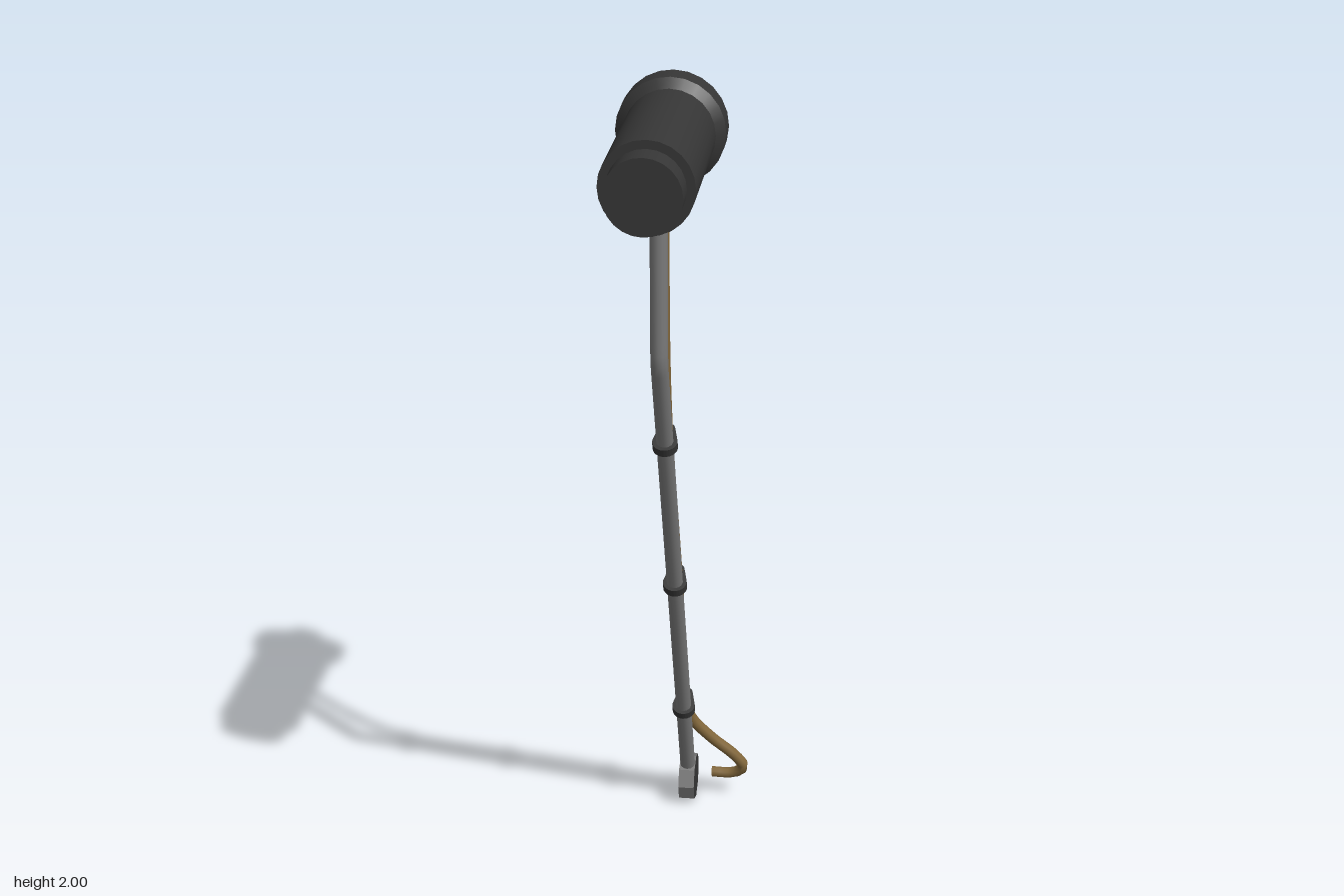
import * as THREE from 'three';

export function createModel() {
  const root = new THREE.Group();
  root.name = 'sensorOnBentPole';

  const makeMaterial = (name, color) => {
    const m = new THREE.MeshStandardMaterial({ color });
    m.name = name;
    return m;
  };
  const black = makeMaterial('black plastic', 0x363636);
  const grey = makeMaterial('grey metal', 0x7a7a7a);
  const brown = makeMaterial('brown cable', 0x83683c);

  const CX = -0.02; // the whole assembly hangs in this plane
  const AXIS_Y = 1.882;
  const add = (name, geometry, material) => {
    const mesh = new THREE.Mesh(geometry, material);
    mesh.name = name;
    root.add(mesh);
    return mesh;
  };
  const v = (x, y, z) => new THREE.Vector3(x, y, z);

  // Housing sections along z: [name, front z, front radius, back z, back radius, material]
  const sections = [
    ['frontStub', 0.442, 0.08, 0.37, 0.08, black],
    ['housing', 0.382, 0.098, 0.0, 0.098, black],
    ['rimChamfer', 0.006, 0.098, -0.014, 0.118, black],
    ['rearRim', -0.014, 0.118, -0.073, 0.118, black],
    ['rearCap', -0.073, 0.118, -0.091, 0.045, black],
    ['rearKnob', -0.085, 0.038, -0.132, 0.038, grey],
  ];
  for (const [name, zf, rf, zb, rb, material] of sections) {
    const g = new THREE.CylinderGeometry(rf, rb, zf - zb, 24);
    g.rotateX(Math.PI / 2);
    add(name, g, material).position.set(CX, AXIS_Y, (zf + zb) / 2);
  }

  // Bent pole
  const bend = v(CX, 1.44, 0.19);
  const foot = v(CX, 0.06, -0.385);
  const up = bend.clone().sub(foot).normalize();
  const low = bend.clone().addScaledVector(up, -0.025);
  const high = bend.clone().add(v(0, 0.025, 0));
  const polePath = new THREE.CurvePath();
  polePath.add(new THREE.LineCurve3(v(CX, 1.81, 0.19), high));
  polePath.add(new THREE.QuadraticBezierCurve3(high, bend, low));
  polePath.add(new THREE.LineCurve3(low, foot));
  add('pole', new THREE.TubeGeometry(polePath, 80, 0.019, 12), grey);

  // Cable follows the pole, then loops out to the side of the foot
  const cablePath = new THREE.CatmullRomCurve3([
    v(CX, 1.81, 0.12), v(CX, 1.62, 0.12), v(CX, 1.42, 0.107),
    v(CX, 1.224, 0.061), v(CX, 0.784, -0.122), v(CX, 0.344, -0.306),
    v(-0.008, 0.27, -0.33), v(0.04, 0.2, -0.355), v(0.1, 0.135, -0.378),
    v(0.122, 0.095, -0.39), v(0.095, 0.068, -0.402), v(0.04, 0.064, -0.406),
  ]);
  add('cable', new THREE.TubeGeometry(cablePath, 90, 0.014, 10), brown);
  const end = add('cableEnd', new THREE.CircleGeometry(0.014, 10), brown);
  end.rotation.y = -Math.PI / 2;
  end.position.set(0.04, 0.064, -0.406);

  // Collars where pole and cable enter the housing
  for (const [name, z, r, m] of [['poleCollar', 0.19, 0.022, grey], ['cableCollar', 0.12, 0.017, black]]) {
    add(name, new THREE.CylinderGeometry(r + 0.004, r, 0.025, 12), m).position.set(CX, 1.785, z);
  }

  // Clamps: pear-shaped bands around pole and cable
  const band = new THREE.Shape();
  band.absarc(0, 0, 0.028, 1.25, Math.PI * 2 - 1.25, false);
  band.absarc(0.038, 0, 0.019, -1.25, 1.25, false);
  band.closePath();
  const bandGeometry = new THREE.ExtrudeGeometry(band, { depth: 0.02, bevelEnabled: false, curveSegments: 8 });
  bandGeometry.translate(0, 0, -0.01);
  const across = v(0, up.z, -up.y);
  const basis = new THREE.Matrix4().makeBasis(across, v(-1, 0, 0), up);
  for (const y of [1.21, 0.77, 0.33]) {
    const clamp = add('clamp', bandGeometry, black);
    clamp.quaternion.setFromRotationMatrix(basis);
    clamp.position.copy(foot).addScaledVector(up, (y - foot.y) / up.y);
  }

  // Octagonal foot: grey rim, black faces
  const footGeometry = new THREE.CylinderGeometry(0.06, 0.06, 0.04, 8).toNonIndexed();
  footGeometry.computeVertexNormals();
  footGeometry.rotateZ(Math.PI / 2);
  footGeometry.rotateX(Math.PI / 2);
  add('foot', footGeometry, [grey, black, black]).position.copy(foot);

  return root;
}
